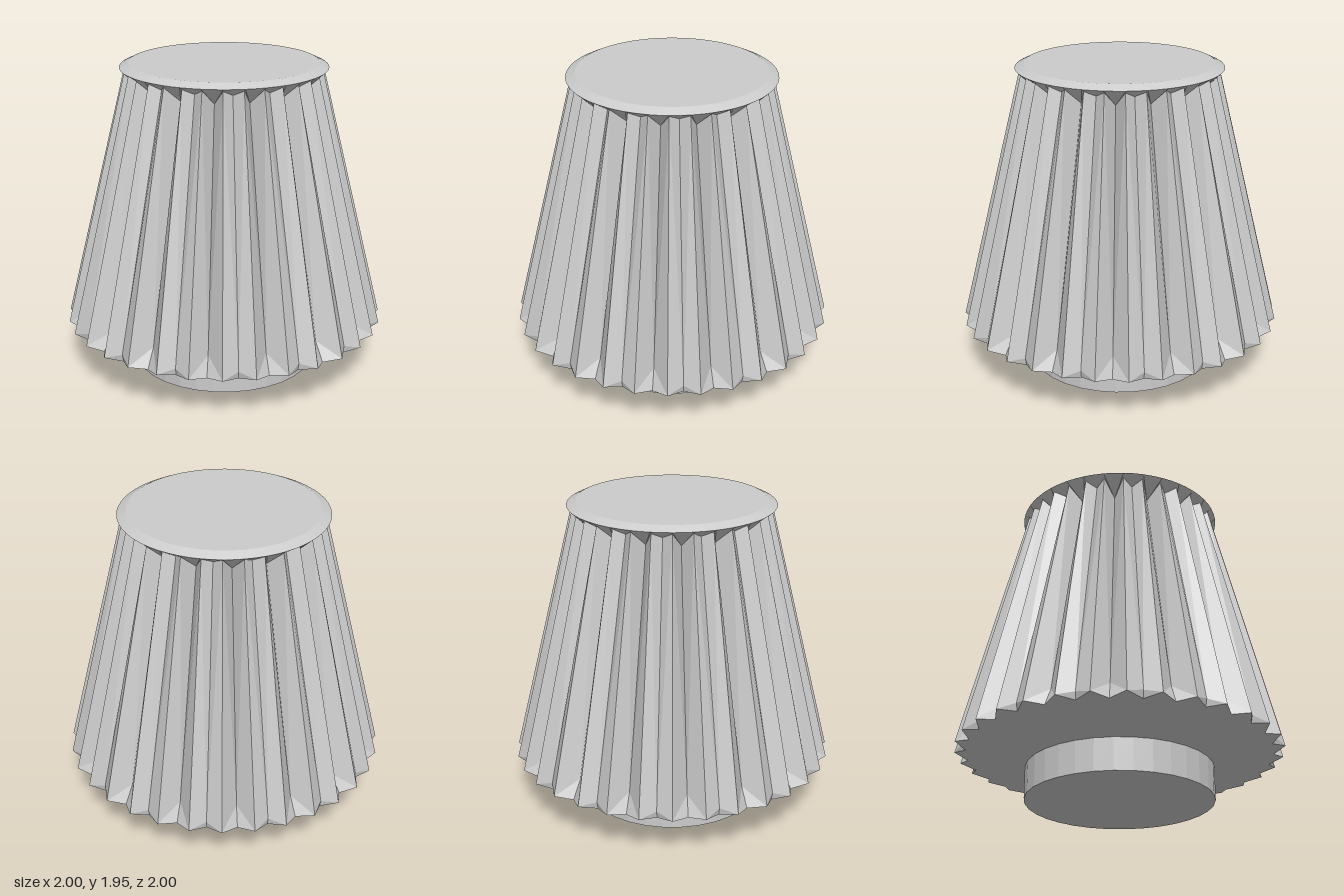
import * as THREE from 'three';

const SEGMENTS = 64; // two per pleat

// Flat-shaded skin through stacked rings; each ring maps a segment index to [radius, y]
function skinRings(rings) {
  const positions = [];
  const indices = [];
  for (const ring of rings) {
    for (let i = 0; i < SEGMENTS; i++) {
      const a = (i / SEGMENTS) * Math.PI * 2;
      const [r, y] = ring(i);
      positions.push(r * Math.sin(a), y, r * Math.cos(a));
    }
  }
  for (let j = 0; j < rings.length - 1; j++) {
    for (let i = 0; i < SEGMENTS; i++) {
      const n = (i + 1) % SEGMENTS;
      const a = j * SEGMENTS + i, b = j * SEGMENTS + n;
      const c = a + SEGMENTS, d = b + SEGMENTS;
      // Alternate the diagonal so neighbouring pleat faces mirror each other
      if (i % 2) indices.push(a, b, c, b, d, c);
      else indices.push(a, b, d, a, d, c);
    }
  }
  const geometry = new THREE.BufferGeometry();
  geometry.setAttribute('position', new THREE.Float32BufferAttribute(positions, 3));
  geometry.setIndex(indices);
  const flat = geometry.toNonIndexed();
  flat.computeVertexNormals();
  return flat;
}

// Odd segments are ridges; valleys alternate between deep and shallow
const round = (r, y) => () => [r, y];
const pleat = (ridge, shallow, deep) => (i) => (i % 2 ? ridge : i % 4 ? shallow : deep);

export function createModel() {
  const group = new THREE.Group();
  const material = new THREE.MeshStandardMaterial({ color: 0xcccccc, flatShading: true });
  const add = (name, geometry, y = 0) => {
    const mesh = new THREE.Mesh(geometry, material);
    mesh.name = name;
    mesh.position.y = y;
    group.add(mesh);
  };

  // Short round foot
  add('base', new THREE.CylinderGeometry(0.575, 0.575, 0.2, 32), 0.1);

  // Flared underside, lower rim, tapered pleats and collar under the cap
  add('pleatedShade', skinRings([
    round(0.57, 0.198),
    round(0.935, 0.283),
    pleat([1.005, 0.3], [0.945, 0.33], [0.87, 0.4]),
    pleat([0.61, 1.905], [0.56, 1.87], [0.52, 1.81]),
    round(0.638, 1.922),
  ]));

  // Chamfered lid
  add('cap', new THREE.CylinderGeometry(0.58, 0.638, 0.028, SEGMENTS), 1.936);

  return group;
}
